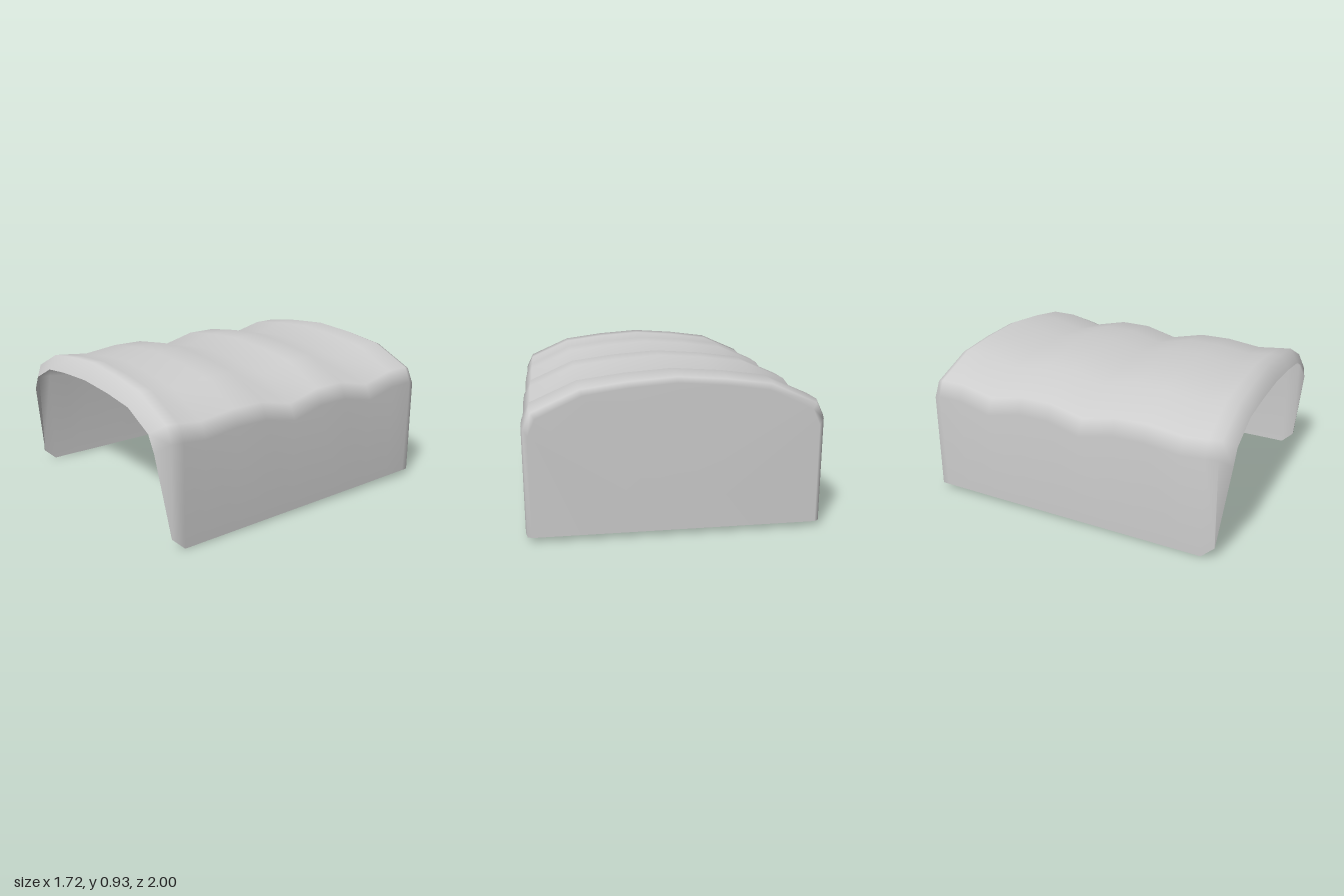
import * as THREE from 'three';

// Half arch, from wall foot to ridge: x and drop below the ridge
const ARCH = [[0.86, 0.27], [0.815, 0.175], [0.545, 0.055], [0.28, 0.02], [0, 0]];

// Inner edge of the front lip, from foot to ridge: x, y, z
const LIP = [
  [0.848, 0.08, 0.94], [0.785, 0.57, 1], [0.73, 0.665, 1],
  [0.52, 0.76, 1], [0.29, 0.785, 1], [0, 0.8, 1],
];

// Ribs from front to back: z, ridge height, foot height, width scale
const RIBS = [
  [0.94, 0.9, 0.08, 1], [0.86, 0.893, 0.005, 1], [0.72, 0.88, 0.008, 1],
  [0.5, 0.91, 0.012, 1], [0.3, 0.912, 0.016, 1], [0.08, 0.865, 0.02, 1],
  [-0.13, 0.922, 0.024, 1], [-0.33, 0.927, 0.028, 1], [-0.56, 0.878, 0.032, 1],
  [-0.77, 0.932, 0.037, 1], [-0.93, 0.936, 0.04, 1],
  [-0.967, 0.922, 0.035, 0.988], [-0.982, 0.89, 0.035, 0.958],
];

function ribPoints([z, top, foot, scale], index) {
  const points = [[0.857, 0], ...ARCH].map(([x, drop], i) => {
    const y = i === 0 ? foot : top - drop;
    // the last ribs lean back towards the foot, like the rear wall
    const lean = index >= RIBS.length - 2 ? 0.018 * (1 - y / top) : 0;
    return [x * scale, y, z - lean];
  });
  return points;
}

// Mirror a half row into a full one, running from +x to -x
function mirrorRow(half) {
  return [...half, ...half.slice(0, -1).reverse().map(([x, y, z]) => [-x, y, z])];
}

function canopyGeometry() {
  const rows = [LIP, ...RIBS.map(ribPoints)].map(mirrorRow);
  const n = rows[0].length;
  const positions = rows.flat(2);
  const index = [];

  // Skin between neighbouring rows
  for (let r = 0; r < rows.length - 1; r++) {
    for (let i = 0; i < n - 1; i++) {
      const a = r * n + i, b = a + 1, c = a + n, d = c + 1;
      index.push(a, c, b, b, c, d);
    }
  }

  // Rear wall, fanned from the middle of its foot
  const centre = positions.length / 3;
  positions.push(0, 0.035, -1);
  const last = (rows.length - 1) * n;
  for (let i = 0; i < n - 1; i++) index.push(centre, last + i + 1, last + i);

  const geometry = new THREE.BufferGeometry();
  geometry.setAttribute('position', new THREE.Float32BufferAttribute(positions, 3));
  geometry.setIndex(index);
  geometry.computeVertexNormals();
  return geometry;
}

export function createModel() {
  const group = new THREE.Group();
  group.name = 'canopy';

  const greyCloth = new THREE.MeshStandardMaterial({ color: 0xcccccc, side: THREE.DoubleSide });
  greyCloth.name = 'grey cloth';

  const cover = new THREE.Mesh(canopyGeometry(), greyCloth);
  cover.name = 'canopyCover';
  group.add(cover);
  return group;
}
